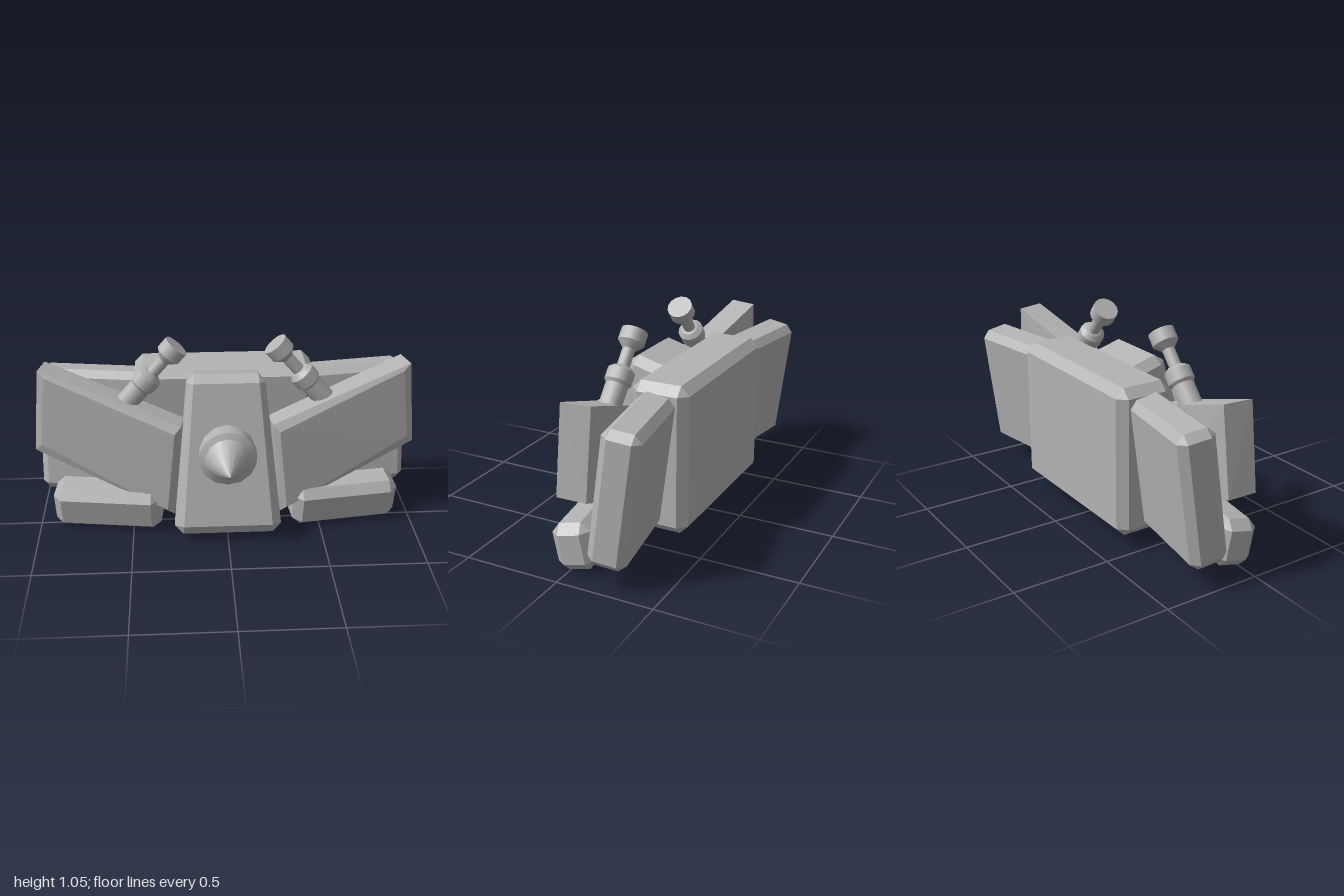
import * as THREE from 'three';
import { ConvexGeometry } from 'three/addons/geometries/ConvexGeometry.js';

const grey = new THREE.MeshStandardMaterial({ color: 0xb3b3b3 });
grey.name = 'grey';
const V = (x, y, z) => new THREE.Vector3(x, y, z);

// Chamfered block; f maps box points (each coordinate -1..1) into place, k = inset fraction per axis
function chamferPoints(f, k) {
  const points = [];
  for (const x of [-1, 1]) for (const y of [-1, 1]) for (const z of [-1, 1]) {
    const a = x * (1 - k[0]), b = y * (1 - k[1]), c = z * (1 - k[2]);
    points.push(f(x, b, c), f(a, y, c), f(a, b, z));
  }
  return points;
}

// Box of a given size, chamfer, position and tilt
function boxPoints(size, bevel, centre, pitch = 0, yaw = 0) {
  const turn = new THREE.Euler(pitch, yaw, 0, 'YXZ');
  const f = (x, y, z) => V(x * size[0] / 2, y * size[1] / 2, z * size[2] / 2)
    .applyEuler(turn).add(V(...centre));
  return chamferPoints(f, size.map((s) => 2 * bevel / s));
}

function createHull(name, points, side = 1) {
  const mesh = new THREE.Mesh(new ConvexGeometry(points.map((p) => V(p.x * side, p.y, p.z))), grey);
  mesh.name = name;
  return mesh;
}

// Solid of revolution with a crisp edge at every profile point
function createTurned(name, profile, segments) {
  const group = new THREE.Group();
  group.name = name;
  for (let i = 0; i < profile.length - 1; i++) {
    const pair = [profile[i], profile[i + 1]].map(([r, y]) => new THREE.Vector2(r, y));
    const mesh = new THREE.Mesh(new THREE.LatheGeometry(pair, segments), grey);
    mesh.name = name + 'Section';
    group.add(mesh);
  }
  return group;
}

// Central block: leans back and narrows toward the top
function centreBlockPoints() {
  const lerp = THREE.MathUtils.lerp;
  const f = (x, y, z) => {
    const v = (y + 1) / 2, d = (1 - z) / 2;
    return V(x * lerp(0.283, 0.198, v),
      lerp(0.067, 0.88, v) - 0.062 * d,
      lerp(0.265, 0.044, v) - 0.22 * d);
  };
  return chamferPoints(f, [0.17, 0.11, 0.36]);
}

// Slanted front wing: sharp outer rim with a slightly raised front face
function frontWingPoints() {
  const front = [V(0.96, 0.89, -0.03), V(1, 0.45, -0.02), V(0.28, 0.12, 0.125), V(0.235, 0.63, 0.125)];
  const back = [V(0.935, 0.885, -0.17), V(0.98, 0.44, -0.16), V(0.26, 0.12, -0.025), V(0.22, 0.62, -0.01)];
  const middle = V(0.62, 0.52, 0.05);
  const raised = front.map((p) => V(
    p.x + Math.sign(middle.x - p.x) * 0.035,
    p.y + Math.sign(middle.y - p.y) * 0.035,
    p.z + 0.02));
  return [...front, ...back, ...raised];
}

export function createModel() {
  const model = new THREE.Group();
  model.name = 'model';

  model.add(createHull('backPlate', boxPoints([0.95, 0.765, 0.3], 0.045, [0, 0.462, -0.25])));
  model.add(createHull('centreBlock', centreBlockPoints()));

  // Pointed boss on the front
  const spike = createTurned('spike', [[0, 0], [0.15, 0], [0.15, 0.1], [0.118, 0.115], [0, 0.3]], 14);
  spike.rotation.x = Math.PI / 2;
  spike.position.set(0, 0.48, 0.1);
  model.add(spike);

  for (const side of [1, -1]) {
    const label = side > 0 ? 'left' : 'right';
    model.add(createHull(label + 'FrontWing', frontWingPoints(), side));
    model.add(createHull(label + 'BackWing',
      boxPoints([0.64, 0.68, 0.19], 0.038, [0.668, 0.462, -0.24], -0.13, 0.15), side));
    model.add(createHull(label + 'Foot',
      boxPoints([0.57, 0.24, 0.2], 0.045, [0.628, 0.139, 0.012], 0.19, 0.14), side));

    // Post with collar, thin rod and flared head
    const post = createTurned(label + 'Post', [
      [0, 0], [0.056, 0], [0.056, 0.16], [0.068, 0.175], [0.068, 0.235], [0.045, 0.255],
      [0.032, 0.26], [0.032, 0.35], [0.067, 0.385], [0.067, 0.45], [0, 0.45],
    ], 14);
    post.position.set(side * 0.543, 0.676, -0.018);
    post.rotation.z = side * 0.71;
    model.add(post);
  }
  return model;
}
